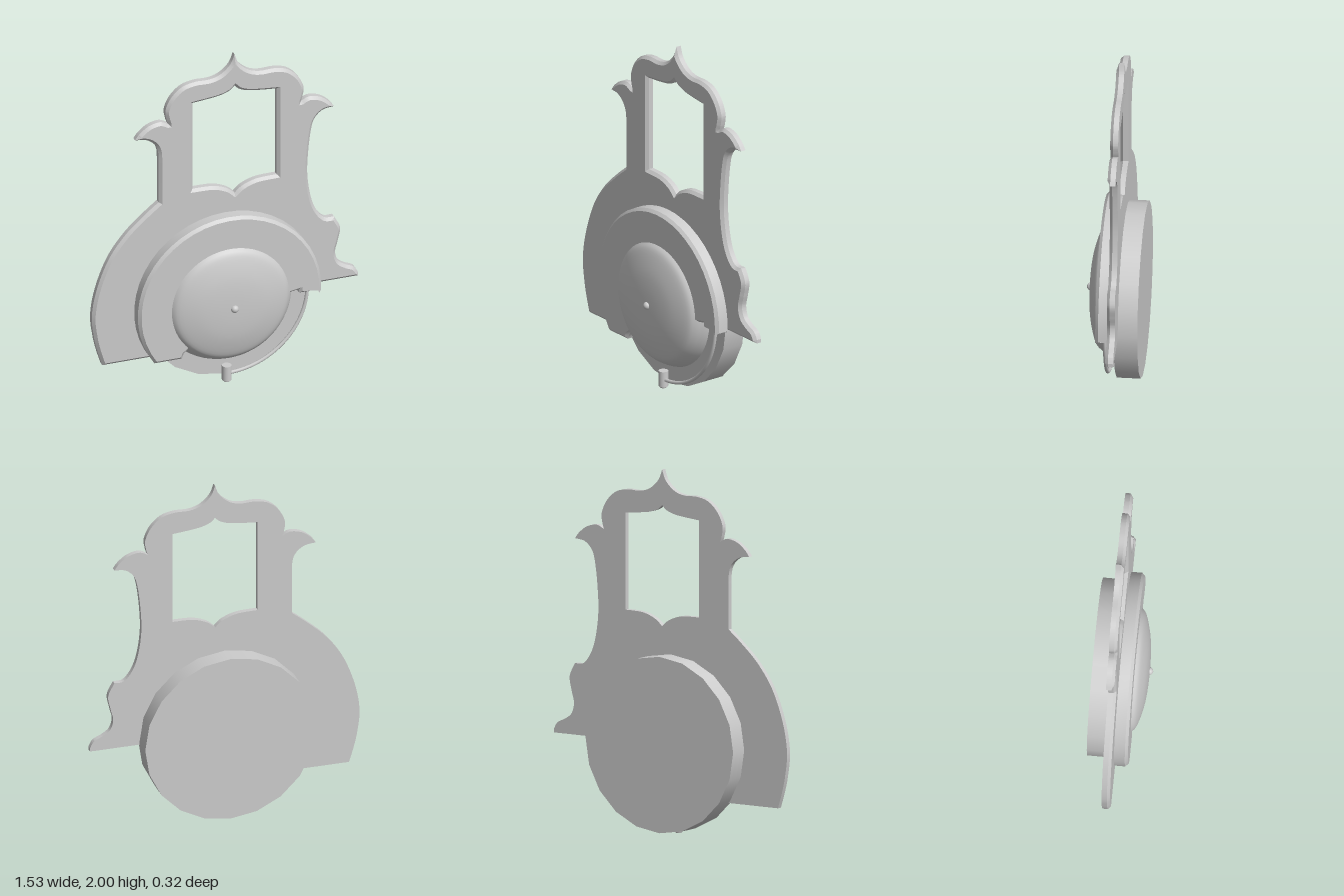
import * as THREE from 'three';
import { toCreasedNormals } from 'three/addons/utils/BufferGeometryUtils.js';

const grey = new THREE.MeshStandardMaterial({ color: 0xcccccc });
const CY = 0.508; // height of the round housing's centre
const AXIS = 0.055; // symmetry line of the arched top

const v = (pts) => pts.map(([x, y]) => new THREE.Vector2(x, y));
const mirror = (pts) => pts.map(([x, y]) => [2 * AXIS - x, y]);
const reversed = (pts) => [...pts].reverse();

// Adds a smooth run that starts at the path's current point (the first of pts)
const run = (path, pts) => path.splineThru(v(pts.slice(1)));

// Extrusion with a chamfer on the front and a flat back at zBack.
// At sharp tips the inset corners gather in one mitre point.
function slab(shape, zBack, zFront, bevel, tips = []) {
  const depth = zFront - zBack - bevel;
  const geo = new THREE.ExtrudeGeometry(shape, {
    depth, curveSegments: 14,
    bevelEnabled: true, bevelSegments: 1, bevelThickness: bevel, bevelSize: bevel, bevelOffset: -bevel,
  });
  const p = geo.attributes.position;
  for (let i = 0; i < p.count; i++) {
    const z = p.getZ(i);
    const inset = z < -1e-4 || z > depth + 1e-4;
    for (const { tip, mitre } of tips) {
      const reach = Math.hypot(tip[0] - mitre[0], tip[1] - mitre[1]) * 1.03;
      if (inset && Math.hypot(p.getX(i) - tip[0], p.getY(i) - tip[1]) < reach) p.setXY(i, ...mitre);
    }
    p.setZ(i, Math.max(z, 0) + zBack);
  }
  return toCreasedNormals(geo, 0.5);
}

function add(group, name, geo) {
  const mesh = new THREE.Mesh(geo, grey);
  mesh.name = name;
  group.add(mesh);
  return mesh;
}

// Lower cut shared by plate and cover: right step, opening behind the dome, left step
function lowerEdge(s) {
  s.lineTo(0.4, 0.49);
  s.lineTo(0.4, 0.513);
  s.absarc(0, CY, 0.32, -0.03, Math.PI + 0.82, false);
  s.lineTo(-0.262, 0.238);
  s.lineTo(-0.275, 0.206);
}

function plateShape() {
  // Right half of the crown, from the peak outwards
  const ogee = [[AXIS, 2], [0.08, 1.94], [0.135, 1.89], [0.2, 1.87], [0.285, 1.87], [0.36, 1.85],
    [0.42, 1.795], [0.452, 1.725], [0.447, 1.67], [0.437, 1.637]];
  const leaf = [[0.437, 1.637], [0.484, 1.657], [0.548, 1.643], [0.6, 1.605], [0.627, 1.57]];
  const s = new THREE.Shape();
  s.moveTo(AXIS, 2);
  run(s, ogee);
  run(s, leaf);
  // Wavy right side down to the foot
  run(s, [[0.627, 1.57], [0.563, 1.56], [0.516, 1.516], [0.495, 1.447], [0.479, 1.315], [0.474, 1.18],
    [0.49, 1.05], [0.52, 0.955], [0.57, 0.89], [0.627, 0.884]]);
  run(s, [[0.627, 0.884], [0.662, 0.81], [0.65, 0.733], [0.634, 0.664], [0.65, 0.606], [0.69, 0.574],
    [0.742, 0.548], [0.766, 0.51]]);
  s.lineTo(0.766, 0.49);
  lowerEdge(s);
  s.lineTo(-0.706, 0.206);
  // Large arc of the left flank and the straight post
  run(s, [[-0.706, 0.206], [-0.733, 0.294], [-0.754, 0.39], [-0.766, 0.52], [-0.738, 0.68], [-0.67, 0.855],
    [-0.574, 0.99], [-0.468, 1.09], [-0.382, 1.16]]);
  s.lineTo(-0.382, 1.4);
  run(s, [[-0.382, 1.4], [-0.385, 1.475], [-0.406, 1.525], [-0.453, 1.56], [-0.517, 1.57]]);
  run(s, reversed(mirror(leaf)));
  run(s, reversed(mirror(ogee)));

  // Window with a pointed arch at both ends, running against the outline
  const top = [[AXIS, 1.805], [0.086, 1.778], [0.155, 1.757], [0.297, 1.742]];
  const bottom = [[0.297, 1.208], [0.18, 1.203], [0.1, 1.175], [AXIS, 1.138]];
  const w = new THREE.Path();
  w.moveTo(AXIS, 1.805);
  run(w, mirror(top));
  w.lineTo(2 * AXIS - 0.297, 1.208);
  run(w, mirror(bottom));
  run(w, reversed(bottom));
  w.lineTo(0.297, 1.742);
  run(w, reversed(top));
  s.holes.push(w);
  return s;
}

function coverShape() {
  const s = new THREE.Shape();
  s.moveTo(0.528, 0.49);
  lowerEdge(s);
  s.absarc(0, CY, 0.528, Math.PI + 0.61, -0.034, true);
  return s;
}

export function createModel() {
  const group = new THREE.Group();

  const tips = [
    { tip: [AXIS, 2], mitre: [AXIS, 1.947] },
    { tip: [0.627, 1.57], mitre: [0.595, 1.583] },
    { tip: [-0.517, 1.57], mitre: [-0.485, 1.583] },
  ];
  add(group, 'backPlate', slab(plateShape(), -0.05, -0.005, 0.016, tips));
  add(group, 'roundCover', slab(coverShape(), -0.005, 0.07, 0.016));

  // Many-sided drum at the back
  const drum = new THREE.CylinderGeometry(0.485, 0.485, 0.13, 20).rotateX(Math.PI / 2);
  add(group, 'drum', drum).position.set(0, 0.504, -0.092);

  // Shallow dome with its flat base
  const curve = new THREE.SplineCurve(v([[0.375, 0], [0.37, 0.015], [0.36, 0.035], [0.337, 0.07],
    [0.3, 0.098], [0.2, 0.126], [0.1, 0.138], [0, 0.141]]));
  const dome = new THREE.LatheGeometry(curve.getPoints(28), 64).rotateX(Math.PI / 2);
  add(group, 'dome', dome).position.y = CY;
  add(group, 'domeBase', new THREE.CircleGeometry(0.375, 64).rotateX(Math.PI)).position.y = CY;
  add(group, 'knob', new THREE.SphereGeometry(0.022, 20, 14)).position.set(0, CY, 0.138);

  // Curved wire arm running from the cover to the striker
  const arm = new THREE.TorusGeometry(0.458, 0.01, 10, 40, Math.PI / 2 + 0.04).rotateZ(-Math.PI / 2);
  add(group, 'strikerArm', arm).position.set(0, CY, 0.024);
  add(group, 'striker', new THREE.CylinderGeometry(0.027, 0.027, 0.088, 20)).position.set(-0.005, 0.054, 0.022);
  add(group, 'strikerTip', new THREE.CylinderGeometry(0.021, 0.017, 0.012, 20)).position.set(-0.005, 0.006, 0.022);

  return group;
}
